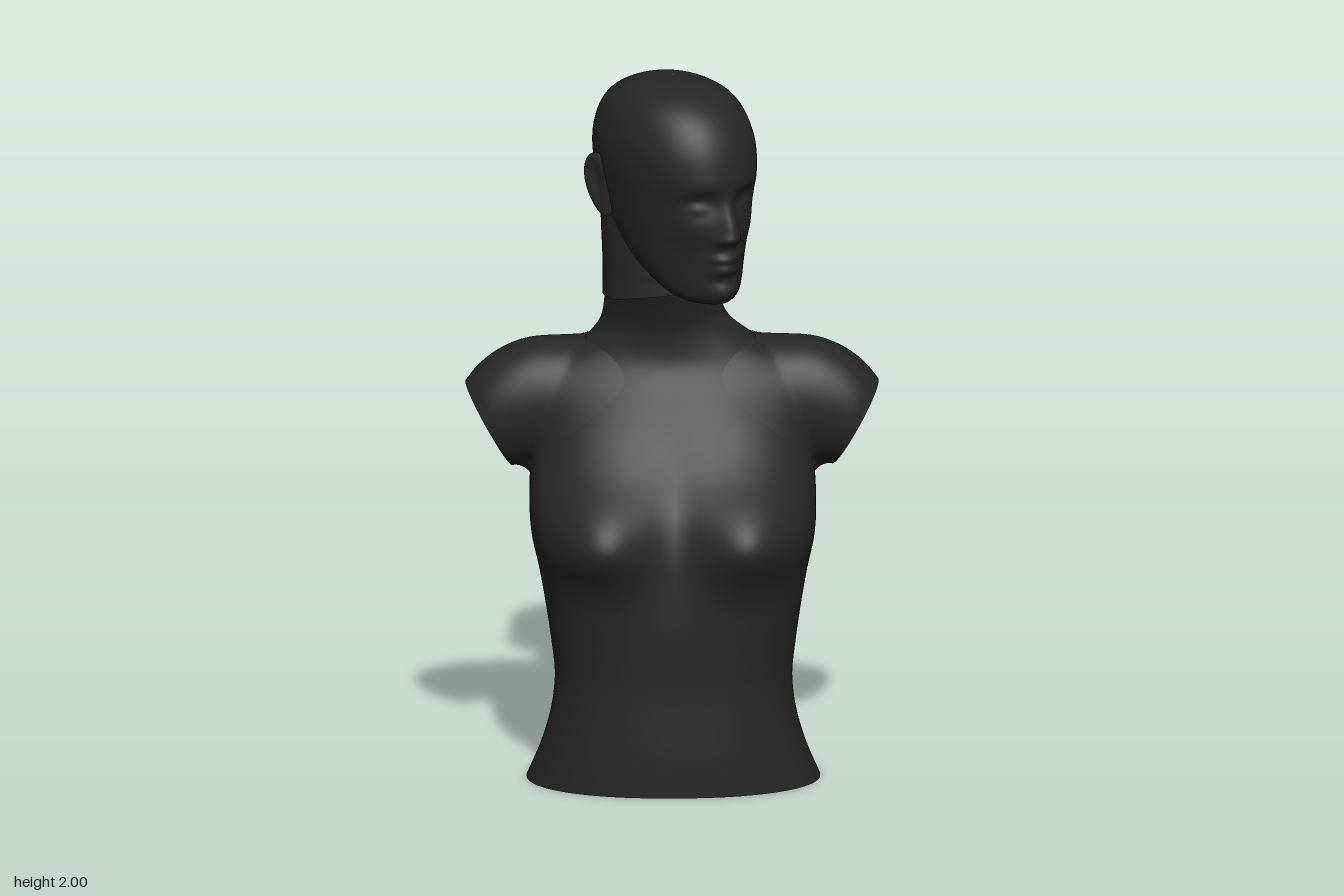
import * as THREE from 'three';

const material = new THREE.MeshStandardMaterial({ color: 0x262626 });
const SEG = 128;
const { smoothstep, lerp } = THREE.MathUtils;
const bump = (d, s) => Math.exp(-(d * d) / (s * s));
const power = (v, n) => Math.sign(v) * Math.abs(v) ** (2 / n);
const smoothMax = (a, b, k) => Math.max(a, b) + (Math.max(k - Math.abs(a - b), 0) ** 2) / (4 * k);

// Smooth closed skin through key rows; point(row, angle) gives [x, y, z].
function loft(name, keys, sub, point, capStart, capEnd) {
  const size = keys[0].length;
  const spline = new THREE.CubicInterpolant(keys.map((_, i) => i), keys.flat(), size, new Float32Array(size));
  const rows = (keys.length - 1) * sub;
  const pos = [], index = [];
  for (let j = 0; j <= rows; j++) {
    const row = Array.from(spline.evaluate(j / sub));
    for (let i = 0; i < SEG; i++) pos.push(...point(row, (i / SEG) * Math.PI * 2));
  }
  for (let j = 0; j < rows; j++) {
    for (let i = 0; i < SEG; i++) {
      const a = j * SEG + i, b = j * SEG + ((i + 1) % SEG);
      index.push(a, a + SEG, b, b, a + SEG, b + SEG);
    }
  }
  // flat caps use their own ring so the rim stays sharp
  const cap = (j, end) => {
    const start = pos.length / 3, c = [0, 0, 0];
    for (let i = 0; i < SEG; i++) {
      for (let k = 0; k < 3; k++) {
        const v = pos[(j * SEG + i) * 3 + k];
        pos.push(v);
        c[k] += v / SEG;
      }
    }
    pos.push(...c);
    for (let i = 0; i < SEG; i++) {
      const a = start + i, b = start + ((i + 1) % SEG);
      index.push(start + SEG, end ? b : a, end ? a : b);
    }
  };
  if (capStart) cap(0, false);
  if (capEnd) cap(rows, true);
  const geometry = new THREE.BufferGeometry();
  geometry.setAttribute('position', new THREE.Float32BufferAttribute(pos, 3));
  geometry.setIndex(index);
  geometry.computeVertexNormals();
  const mesh = new THREE.Mesh(geometry, material);
  mesh.name = name;
  return mesh;
}

// Torso and lower neck: y, half width, centre x, front z, back z, squareness
const torsoKeys = [
  [0, 0.412, 0, 0.31, -0.22, 2.2],
  [0.1, 0.372, 0, 0.31, -0.18, 2.25],
  [0.2, 0.344, 0, 0.305, -0.163, 2.3],
  [0.3, 0.333, 0, 0.3, -0.164, 2.3],
  [0.4, 0.343, 0, 0.302, -0.187, 2.35],
  [0.5, 0.358, 0, 0.302, -0.222, 2.45],
  [0.6, 0.376, 0, 0.295, -0.262, 2.6],
  [0.7, 0.398, 0, 0.278, -0.302, 2.7],
  [0.8, 0.402, 0, 0.245, -0.338, 2.65],
  [0.9, 0.395, 0, 0.178, -0.36, 2.5],
  [1.0, 0.38, 0, 0.115, -0.358, 2.4],
  [1.1, 0.345, 0, 0.06, -0.328, 2.4],
  [1.18, 0.29, 0, 0.02, -0.295, 2.2],
  [1.23, 0.235, -0.005, 0.013, -0.272, 2.05],
  [1.28, 0.185, -0.018, 0.015, -0.255, 2],
  [1.34, 0.163, -0.028, 0.035, -0.248, 2],
  [1.41, 0.153, -0.035, 0.062, -0.248, 2],
  [1.5, 0.15, -0.035, 0.06, -0.248, 2],
];
const torsoSpline = new THREE.CubicInterpolant(
  torsoKeys.map((k) => k[0]), torsoKeys.flatMap((k) => k.slice(1)), 5, new Float32Array(5));

// Depth of the torso skin; depth runs from -1 (back) to 1 (front)
function torsoZ(x, y, depth, [, , zf, zb, n]) {
  const s = power(depth, 4 / n);
  const front = smoothstep(s, 0, 0.5), back = smoothstep(-s, 0, 0.5);
  const lateral = Math.abs(x) - 0.22;
  let z = (zf + zb) / 2 + ((zf - zb) / 2) * depth;
  // breasts, dip between them, spine groove
  z += front * 0.096 * bump(lateral, lateral > 0 ? 0.17 : 0.135) * bump(y - 0.725, y > 0.725 ? 0.145 : 0.115);
  z -= front * 0.012 * bump(x, 0.06) * bump(y - 0.75, 0.2);
  return z + back * 0.034 * bump(x, 0.1) * bump(y - 0.85, 0.4);
}

function makeTorso() {
  const heights = Array.from({ length: 91 }, (_, i) => [i / 60]);
  return loft('torso', heights, 1, ([y], a) => {
    const row = torsoSpline.evaluate(y), [hw, cx, , , n] = row;
    const x = cx + hw * power(Math.cos(a), n);
    return [x, y, torsoZ(x, y, power(Math.sin(a), n), row)];
  }, true, false);
}

// Shoulder stump blended into the torso: lower x, lower y, upper x, upper y, centre z, half depth
function makeShoulder(side) {
  const keys = [
    [0.1, 0.85, 0.08, 1.2, -0.15, 0.14],
    [0.2, 0.85, 0.18, 1.225, -0.15, 0.15],
    [0.32, 0.85, 0.29, 1.224, -0.148, 0.156],
    [0.39, 0.85, 0.4, 1.217, -0.147, 0.152],
    [0.42, 0.855, 0.48, 1.187, -0.145, 0.147],
    [0.437, 0.858, 0.54, 1.143, -0.142, 0.14],
    [0.447, 0.858, 0.58, 1.095, -0.14, 0.131],
  ];
  return loft(side > 0 ? 'leftShoulder' : 'rightShoulder', keys, 9, ([bx, by, tx, ty, zc, hz], a) => {
    const t = 0.5 + 0.5 * power(Math.cos(a), 2.1), d = -side * Math.sin(a), face = d >= 0 ? 1 : -1;
    const x = side * lerp(bx, tx, t), y = lerp(by, ty, t);
    const row = torsoSpline.evaluate(y), [hw, cx, , , n] = row;
    const u = Math.abs(x - cx) / hw;
    const depth = face * Math.max(0, 1 - u ** n) ** (1 / n);
    const skin = face * torsoZ(x, y, depth, row) - 3 * hw * Math.max(0, u - 1) - 0.002;
    return [x, y, face * smoothMax(face * (zc + hz * power(d, 2.1)), skin, 0.08)];
  }, false, true);
}

// Skull and face: y, half width, front z, back z, narrowing to the front
function makeSkull() {
  const keys = [
    [1.39, 0.035, 0.225, 0.13, 0.2],
    [1.397, 0.068, 0.25, 0.09, 0.3],
    [1.425, 0.108, 0.268, 0.02, 0.36],
    [1.5, 0.15, 0.274, -0.12, 0.36],
    [1.58, 0.175, 0.276, -0.215, 0.24],
    [1.66, 0.19, 0.277, -0.255, 0.13],
    [1.75, 0.203, 0.28, -0.278, 0.05],
    [1.83, 0.204, 0.265, -0.278, 0.03],
    [1.9, 0.186, 0.228, -0.255, 0.02],
    [1.95, 0.154, 0.175, -0.212, 0],
    [1.983, 0.1, 0.108, -0.145, 0],
    [1.997, 0.045, 0.04, -0.075, 0],
    [2.0, 0.001, -0.016, -0.018, 0],
  ];
  return loft('skull', keys, 9, ([y, hw, zf, zb, taper], a) => {
    const s = Math.sin(a);
    const x = hw * power(Math.cos(a), 2.1) * (1 - taper * s * Math.max(0, 0.35 + 0.65 * s));
    let z = (zf + zb) / 2 + ((zf - zb) / 2) * power(s, 2.1);
    const f = smoothstep(s, 0.2, 0.7), ax = Math.abs(x);
    // nose ridge and nostrils
    const ridge = smoothstep(y, 1.56, 1.59) * (1 - smoothstep(y, 1.58, 1.74));
    z += f * 0.042 * ridge * bump(x, 0.02 + 0.012 * ridge);
    z += f * 0.012 * bump(ax - 0.026, 0.014) * bump(y - 1.585, 0.018);
    // eye sockets, eyeballs, brows
    z -= f * 0.026 * bump(ax - 0.07, 0.045) * bump(y - 1.69, 0.032);
    z += f * 0.013 * bump(ax - 0.075, 0.028) * bump(y - 1.678, 0.016);
    z += f * 0.004 * bump(ax - 0.07, 0.06) * bump(y - 1.74, 0.025);
    // cheekbones, lips, hollow under the lip, chin
    z += f * 0.008 * bump(ax - 0.1, 0.04) * bump(y - 1.61, 0.04);
    z += f * 0.016 * bump(x, 0.042) * (bump(y - 1.529, 0.012) + bump(y - 1.498, 0.014));
    z -= f * 0.008 * bump(x, 0.04) * bump(y - 1.465, 0.016);
    z += f * 0.008 * bump(x, 0.04) * bump(y - 1.428, 0.025);
    return [x, y, z];
  }, true, false);
}

// Ear: flattened ellipsoid, narrow at the lobe, flaring at the rear, hollow outside
function makeEar(side) {
  const geometry = new THREE.SphereGeometry(1, 32, 24);
  const p = geometry.attributes.position;
  for (let i = 0; i < p.count; i++) {
    const x = p.getX(i), y = p.getY(i), z = p.getZ(i);
    const hollow = side * x > 0 ? 0.014 * bump(Math.hypot(y - 0.15, z + 0.1), 0.5) : 0;
    p.setXYZ(i,
      0.018 * x + side * (-0.02 * z + 0.008 * y - hollow),
      0.092 * y,
      0.052 * z * (0.8 + 0.28 * y));
  }
  geometry.computeVertexNormals();
  const ear = new THREE.Mesh(geometry, material);
  ear.name = side > 0 ? 'leftEar' : 'rightEar';
  ear.position.set(side * 0.196, 1.695, -0.082);
  ear.rotation.x = -0.25;
  return ear;
}

// Upper neck joined to the head: y, radius, centre z
function makeUpperNeck() {
  const keys = [[1.365, 0.159, -0.058], [1.43, 0.157, -0.06], [1.5, 0.157, -0.064], [1.57, 0.156, -0.072], [1.64, 0.15, -0.085]];
  return loft('upperNeck', keys, 4, ([y, r, cz], a) => {
    const s = Math.sin(a);
    // lower rim rises towards the throat
    const rise = 0.03 * Math.max(0, s) * (1.64 - y) / 0.275;
    return [-0.018 + r * Math.cos(a), y + rise, cz + r * s];
  }, true, false);
}

export function createModel() {
  const model = new THREE.Group();
  model.name = 'bust';
  model.add(makeTorso(), makeShoulder(1), makeShoulder(-1));
  // head turned to its left
  const head = new THREE.Group();
  head.name = 'head';
  head.add(makeSkull(), makeUpperNeck(), makeEar(1), makeEar(-1));
  head.position.set(0.008, 0, -0.053);
  head.rotation.y = 0.54;
  model.add(head);
  return model;
}
